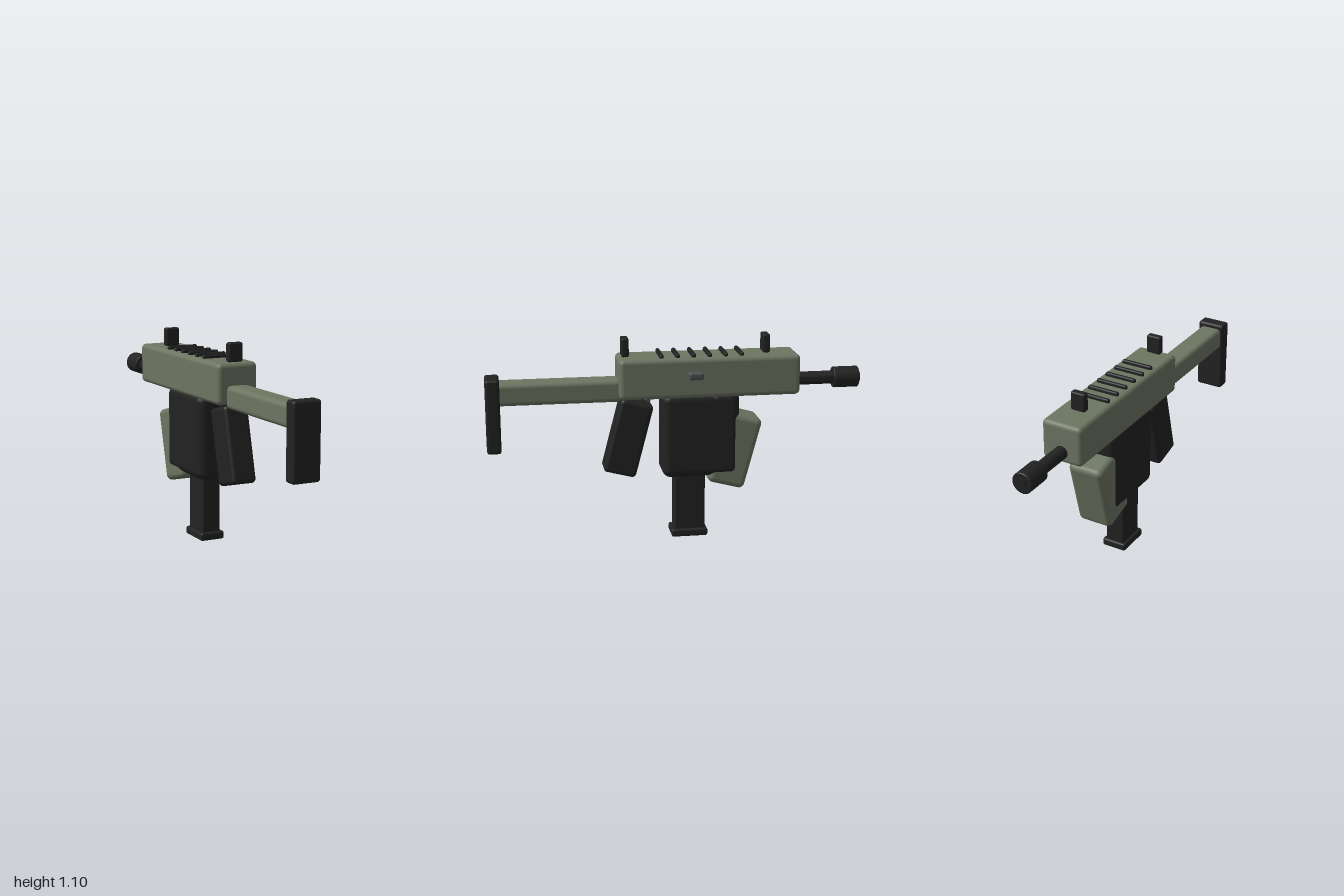
import * as THREE from 'three';
import { RoundedBoxGeometry } from 'three/addons/geometries/RoundedBoxGeometry.js';
import { toCreasedNormals } from 'three/addons/utils/BufferGeometryUtils.js';

const CX = -0.028; // centre line of the body; the bolt sticks out to +x

function makeMaterial(name, color) {
  const m = new THREE.MeshStandardMaterial({ color });
  m.name = name;
  return m;
}

export function createModel() {
  const green = makeMaterial('olive green', 0x6d7562);
  const black = makeMaterial('matte black', 0x222222);
  const grey = makeMaterial('dark grey', 0x505050);

  const model = new THREE.Group();
  model.name = 'toyBlaster';

  function add(name, geometry, material, x, y, z, tilt = 0) {
    const mesh = new THREE.Mesh(geometry, material);
    mesh.name = name;
    mesh.position.set(x, y, z);
    mesh.rotation.x = tilt;
    model.add(mesh);
    return mesh;
  }

  // rounded box centred on the body line, given size, height, depth position
  function box(name, material, [w, h, d], y, z, radius, tilt = 0, x = CX) {
    return add(name, new RoundedBoxGeometry(w, h, d, 4, radius), material, x, y, z, tilt);
  }

  // turned part pointing to -z, profile as [radius, distance]
  function turned(name, material, profile) {
    const points = profile.map(([r, l]) => new THREE.Vector2(r, l));
    const geometry = toCreasedNormals(new THREE.LatheGeometry(points, 32), 0.6);
    return add(name, geometry, material, CX, 0.842, 0, -Math.PI / 2);
  }

  // body and shoulder stock
  box('body', green, [0.226, 0.215, 0.96], 0.8875, -0.17, 0.025);
  box('stockTube', green, [0.126, 0.12, 0.66], 0.821, 0.62, 0.025);
  box('stockPad', black, [0.154, 0.395, 0.075], 0.708, 0.9625, 0.015);

  // barrel, muzzle and bore
  turned('barrel', black, [[0, 0.6], [0.035, 0.6], [0.035, 0.87], [0, 0.87]]);
  turned('muzzle', black, [[0, 0.853], [0.052, 0.853], [0.056, 0.857],
    [0.056, 0.986], [0.052, 0.99], [0, 0.99]]);
  turned('bore', black, [[0, 0.98], [0.028, 0.98], [0.028, 1], [0, 1]]);

  // magazine housing, magazine and handles
  box('magazineHousing', black, [0.206, 0.46, 0.412], 0.572, -0.125, 0.045);
  box('magazine', black, [0.106, 0.5, 0.165], 0.27, -0.07, 0.01);
  box('magazineBase', black, [0.138, 0.043, 0.195], 0.0215, -0.068, 0.012);
  box('rearGrip', black, [0.138, 0.405, 0.177], 0.561, 0.259, 0.022, -0.255);
  box('foregrip', green, [0.197, 0.395, 0.205], 0.478, -0.307, 0.03, -0.262);

  // sights
  for (const [name, z] of [['rearSight', 0.27], ['frontSight', -0.48]]) {
    box(name, black, [0.081, 0.1, 0.039], 1.046, z, 0.01);
  }

  // ribs across the top
  for (let i = 0; i < 6; i++) {
    box('topRib', black, [0.174, 0.03, 0.022], 0.999, 0.085 - i * 0.085, 0.009);
  }

  // bolt handle and body pins
  box('boltHandle', grey, [0.08, 0.037, 0.076], 0.908, -0.086, 0.01, 0, 0.096);
  for (const z of [0.16, -0.197]) {
    const pin = add('pin', new THREE.CylinderGeometry(0.012, 0.012, 0.03, 16), grey, 0.069, 0.784, z);
    pin.rotation.z = Math.PI / 2;
  }

  return model;
}
